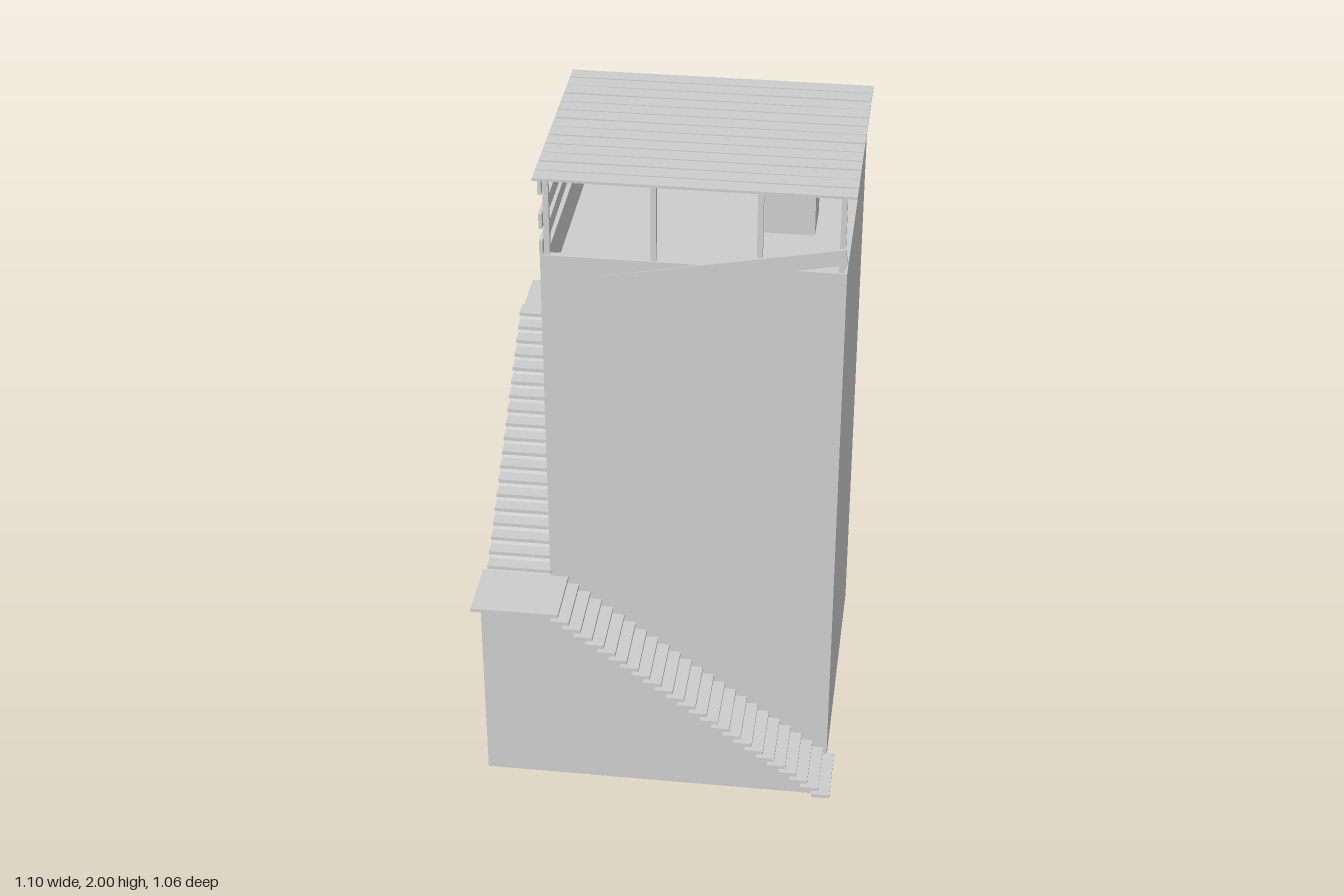
import * as THREE from 'three';

export function createModel() {
  const model = new THREE.Group();
  model.name = 'watchtower';
  const grey = new THREE.MeshStandardMaterial({ color: 0xcccccc });
  grey.name = 'plain grey';

  const add = (name, geometry, parent = model) => {
    const mesh = new THREE.Mesh(geometry, grey);
    mesh.name = name;
    parent.add(mesh);
    return mesh;
  };
  const group = (name) => {
    const g = new THREE.Group();
    g.name = name;
    model.add(g);
    return g;
  };
  // Box given by its limits on each axis
  const box = (name, x0, x1, y0, y1, z0, z1, parent) => {
    const mesh = add(name, new THREE.BoxGeometry(x1 - x0, y1 - y0, z1 - z0), parent);
    mesh.position.set((x0 + x1) / 2, (y0 + y1) / 2, (z0 + z1) / 2);
    return mesh;
  };
  const prism = (points, depth) => new THREE.ExtrudeGeometry(
    new THREE.Shape(points.map(([x, y]) => new THREE.Vector2(x, y))),
    { depth, bevelEnabled: false });
  // Board running between two points, tall in y and thin sideways
  const board = (name, from, to, height, thickness, parent) => {
    const a = new THREE.Vector3(...from), b = new THREE.Vector3(...to);
    const mesh = add(name, new THREE.BoxGeometry(thickness, height, a.distanceTo(b)), parent);
    mesh.position.copy(a).add(b).multiplyScalar(0.5);
    mesh.lookAt(b);
    return mesh;
  };

  const L = -0.34, R = 0.525, F = 0.335, B = -0.36; // tower sides
  const floorY = 1.64, wallY = 1.755;

  // Solid tower and the three wedges that wind around it
  box('towerBody', L, R, 0, floorY, B, F);
  add('frontStairBase', prism([[-0.525, 0], [R, 0], [L, 0.627], [-0.525, 0.627]], 0.17))
    .position.z = F;
  const side = add('sideStairBase',
    prism([[-0.53, 0], [F, 0], [F, 0.627], [B, 1.17], [-0.53, 1.17]], 0.19).rotateY(-Math.PI / 2));
  side.position.x = L;
  add('backRamp', prism([[L, 0], [R, 0], [R, floorY], [0.295, floorY], [L, 1.17]], 0.17))
    .position.z = -0.53;

  // Front steps and corner landing
  const frontSteps = group('frontSteps');
  for (let i = 0; i < 24; i++) {
    const x = 0.52 - i * 0.0348, y = 0.012 + i * 0.0258;
    box('frontStep', x - 0.028, x + 0.028, y - 0.006, y + 0.006, F - 0.005, 0.53, frontSteps);
  }
  box('cornerLanding', -0.55, -0.285, 0.624, 0.636, 0.33, 0.53);

  // Side steps
  const sideSteps = group('sideSteps');
  for (let i = 0; i < 19; i++) {
    const z = 0.31 - i * 0.0363, y = 0.651 + i * 0.0286;
    box('sideStep', -0.535, L, y - 0.006, y + 0.006, z - 0.028, z + 0.028, sideSteps);
  }

  // Parapet, open at the back where the ramp arrives
  const parapet = group('parapet');
  box('frontWall', L, R, floorY, wallY, F - 0.02, F, parapet);
  box('leftWall', R - 0.022, R, floorY, wallY, -0.532, F, parapet);
  box('rightWall', L, L + 0.02, floorY, wallY, B, F, parapet);
  box('backWall', L, 0.295, floorY, wallY, B, B + 0.02, parapet);

  // Roof posts and the beams along each side
  const frame = group('roofFrame');
  for (const z of [0.322, -0.35])
    for (const x of [-0.32, -0.018, 0.28, 0.51])
      box('post', x - 0.008, x + 0.008, floorY, 1.993, z - 0.008, z + 0.008, frame);

  // Slightly uneven roof planks
  const roof = group('roofPlanks');
  for (let i = 0; i < 13; i++) {
    const z = -0.34 + i * 0.0548;
    const plank = box('roofPlank', -0.354, 0.545, 1.992, 2, z - 0.0245, z + 0.0245, roof);
    if (i > 0 && i < 12) plank.rotation.y = 0.004 * Math.sin(i * 2.4);
  }

  // Crooked side rails
  const rails = group('sideRails');
  board('topRail', [-0.336, 1.967, 0.335], [-0.336, 1.933, -0.36], 0.044, 0.01, rails);
  board('middleRail', [-0.336, 1.862, 0.335], [-0.336, 1.86, -0.36], 0.048, 0.01, rails);
  board('lowerRail', [-0.336, 1.778, 0.335], [-0.336, 1.793, -0.36], 0.046, 0.01, rails);

  // Loose boards on the front and beside the ramp
  board('fallenFrontRail', [-0.16, 1.677, 0.332], [0.523, 1.81, 0.336], 0.048, 0.01);
  board('rampHandrail', [0.295, 1.76, -0.365], [-0.1, 1.415, -0.374], 0.05, 0.01);

  // Tall cabinet on the platform
  box('cabinet', 0.255, 0.405, floorY, 1.928, -0.235, -0.085);

  return model;
}
